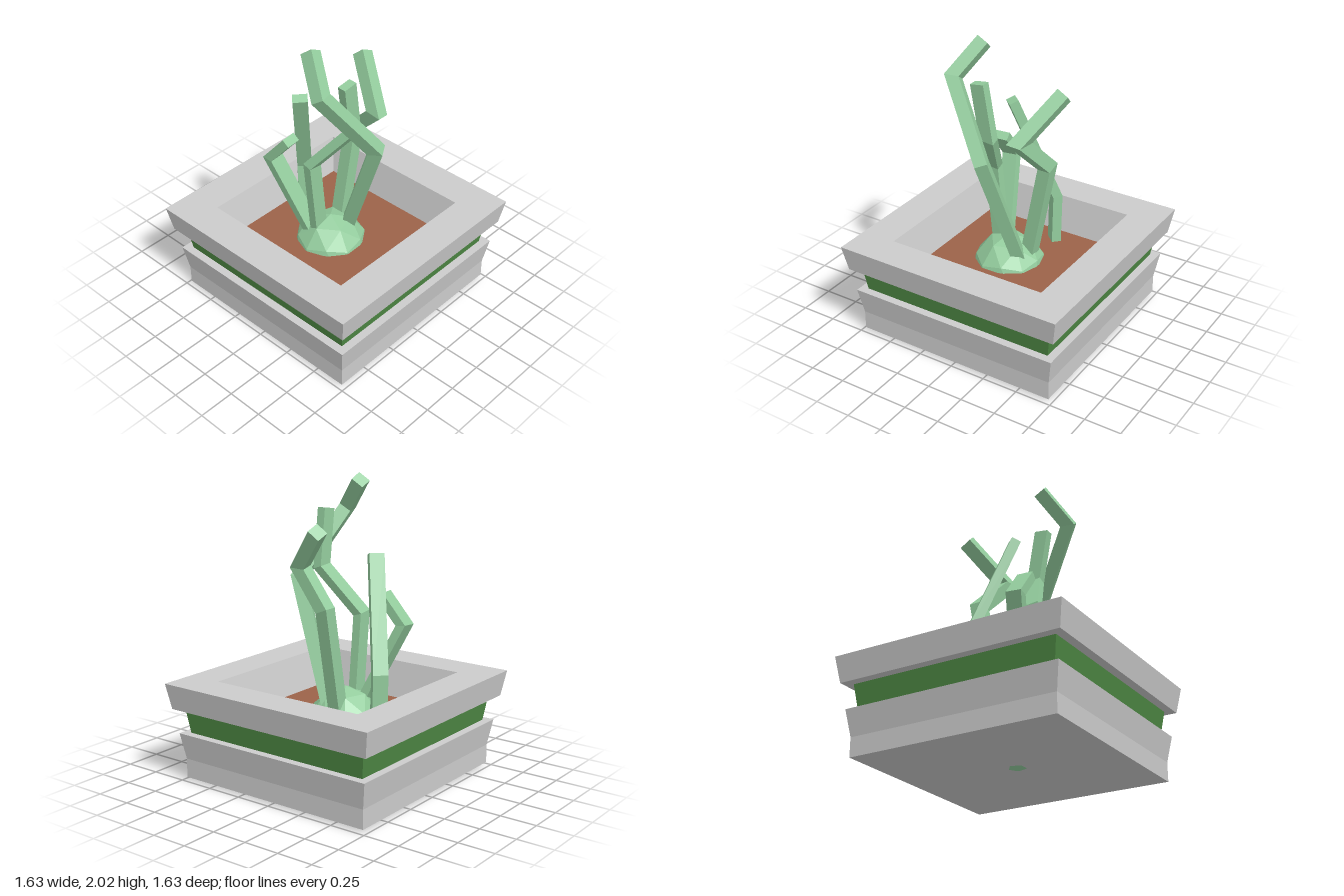
import * as THREE from 'three';

const mat = (color) => new THREE.MeshStandardMaterial({ color, flatShading: true });

// Four-sided turned shell; profile holds [half width, height] pairs
function squareShell(name, profile, material) {
  const pts = profile.map(([w, y]) => new THREE.Vector2(w * Math.SQRT2, y));
  const mesh = new THREE.Mesh(new THREE.LatheGeometry(pts, 4, Math.PI / 4), material);
  mesh.name = name;
  return mesh;
}

// Rectangular bar following a bent path with mitred joints
function bentBar(path, width, depth, twist) {
  const p = path.map((a) => new THREE.Vector3(...a));
  const dirs = p.slice(1).map((b, i) => b.clone().sub(p[i]).normalize());
  const first = dirs[0];
  const u = new THREE.Vector3(Math.cos(twist), 0, -Math.sin(twist));
  u.addScaledVector(first, -u.dot(first)).normalize();
  const v = first.clone().cross(u);
  let ring = [[1, 1], [-1, 1], [-1, -1], [1, -1]].map(([a, b]) =>
    p[0].clone().addScaledVector(u, a * width / 2).addScaledVector(v, b * depth / 2));
  const verts = [...ring];
  const index = [0, 2, 1, 0, 3, 2];
  dirs.forEach((d, i) => {
    // slide the corners along the segment to the mitre plane of its far end
    const n = d.clone().add(dirs[i + 1] ?? d).normalize();
    ring = ring.map((c) =>
      c.clone().addScaledVector(d, p[i + 1].clone().sub(c).dot(n) / d.dot(n)));
    verts.push(...ring);
    for (let k = 0; k < 4; k++) {
      const a = i * 4 + k, b = i * 4 + (k + 1) % 4;
      index.push(a, b, b + 4, a, b + 4, a + 4);
    }
  });
  const e = dirs.length * 4;
  index.push(e, e + 1, e + 2, e, e + 2, e + 3);
  const geo = new THREE.BufferGeometry().setFromPoints(verts);
  geo.setIndex(index);
  geo.computeVertexNormals();
  return geo;
}

export function createModel() {
  const model = new THREE.Group();
  model.name = 'pottedPlant';
  const stone = mat(0xcccccc);
  const plant = mat(0x93cc9d);

  // Square planter: base, coloured band, overhanging rim and soil
  model.add(
    squareShell('planterBase', [[0, 0.02], [0.725, 0.02], [0.725, 0.15], [0.755, 0.33], [0.7, 0.33]], stone),
    squareShell('planterBand', [[0.7, 0.33], [0.725, 0.5]], mat(0x4f8a45)),
    squareShell('planterRim', [[0.725, 0.5], [0.785, 0.5], [0.815, 0.675], [0.57, 0.675], [0.505, 0.43]], stone),
    squareShell('soil', [[0.505, 0.43], [0, 0.43]], mat(0x9c6249)),
  );

  // Faceted bulb, poking slightly through the planter floor
  const bulbGeo = new THREE.IcosahedronGeometry(1, 1);
  bulbGeo.rotateZ(Math.atan(2 / (1 + Math.sqrt(5))));
  bulbGeo.scale(0.265, 0.305, 0.265);
  const bulb = new THREE.Mesh(bulbGeo, plant);
  bulb.name = 'bulb';
  bulb.position.set(-0.04, 0.305, -0.02);
  model.add(bulb);

  // Crooked stalks
  const stalks = [
    { name: 'tallStalk', w: 0.085, d: 0.09, twist: 0.6,
      path: [[0.07, 0.5, 0.04], [-0.01, 1.31, 0.35], [-0.33, 1.77, 0.18], [-0.22, 1.97, -0.01]] },
    { name: 'middleStalk', w: 0.1, d: 0.06, twist: 0,
      path: [[-0.12, 0.5, -0.05], [-0.18, 1.09, -0.05], [-0.06, 1.4, 0.19], [-0.12, 1.78, 0.2]] },
    { name: 'leftStalk', w: 0.09, d: 0.09, twist: 0,
      path: [[0.1, 0.5, -0.06], [0.23, 1.18, -0.06], [0.17, 1.43, 0.19], [0.33, 1.7, -0.08]] },
    { name: 'shortStalk', w: 0.11, d: 0.06, twist: 0,
      path: [[-0.13, 0.5, -0.11], [-0.235, 1.04, -0.36], [-0.22, 1.23, -0.2]] },
    { name: 'backStalk', w: 0.1, d: 0.065, twist: -0.75,
      path: [[0.1, 0.42, -0.39], [0.1, 0.78, -0.4], [-0.13, 1.51, -0.2]] },
  ];
  for (const s of stalks) {
    const mesh = new THREE.Mesh(bentBar(s.path, s.w, s.d, s.twist), plant);
    mesh.name = s.name;
    model.add(mesh);
  }
  return model;
}
